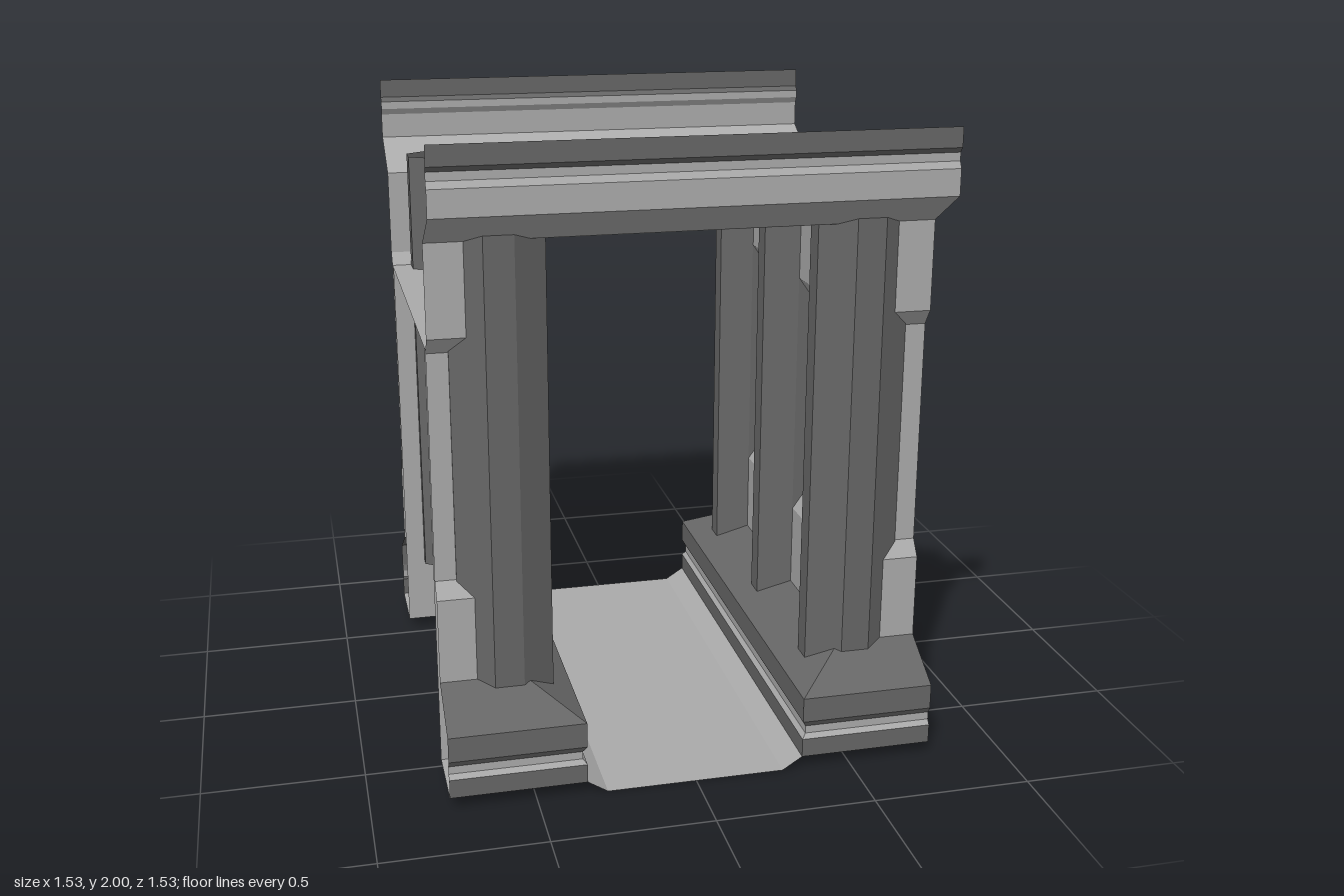
import * as THREE from 'three';

const E = 0.765;    // outer half width
const IN = 0.343;   // inner edge of the pier base
const material = (color) => new THREE.MeshStandardMaterial({ color, flatShading: true, side: THREE.DoubleSide });
const light = material(0xaaaaaa);   // walls, ceiling, floor
const dark = material(0x666666);    // columns and trim

// profiles as [inset, height]
const baseProfile = [[0, 0.04], [0, 0.1], [0.012, 0.115], [0.012, 0.14], [0, 0.16], [0, 0.24], [0.168, 0.34]];
const wallProfile = [[0.168, 0.34], [0.168, 0.61], [0.203, 0.66], [0.203, 1.37], [0.168, 1.42], [0.168, 1.7]];
const corniceProfile = baseProfile.map(([d, y]) => [d, 2.04 - y]);

// open sheet through equal-length rows of [x, y, z] points
function sheet(name, mat, rows) {
  const pos = [];
  for (let i = 0; i < rows.length - 1; i++) {
    for (let j = 0; j < rows[i].length - 1; j++) {
      const a = rows[i][j], b = rows[i][j + 1], c = rows[i + 1][j + 1], d = rows[i + 1][j];
      pos.push(...a, ...b, ...c, ...a, ...c, ...d);
    }
  }
  const g = new THREE.BufferGeometry();
  g.setAttribute('position', new THREE.Float32BufferAttribute(pos, 3));
  g.computeVertexNormals();
  const m = new THREE.Mesh(g, mat);
  m.name = name;
  return m;
}

// flat horizontal rectangle
const plate = (name, x0, x1, z0, z1, y) =>
  sheet(name, light, [[[x0, y, z1], [x1, y, z1]], [[x0, y, z0], [x1, y, z0]]]);

// profile swept round the three faces of a pier, with mitred corners
const wrap = (name, mat, profile) => sheet(name, mat, profile.map(([d, y]) => {
  const x = IN + d, z = E - d;
  return [[E, y, z], [x, y, z], [x, y, -z], [E, y, -z]];
}));

// straight profile along the front (s = 1) or back (s = -1)
const cornice = (name, mat, profile, s) => sheet(name, mat,
  profile.map(([d, y]) => [[-E, y, s * (E - d)], [E, y, s * (E - d)]]));

// stretched octagonal shaft; the open one lacks its outer three faces
function column(name, z, open) {
  const outline = [[0.045, 0.1], [-0.045, 0.1], [-0.145, 0.035], [-0.145, -0.035], [-0.045, -0.1], [0.045, -0.1]];
  if (!open) outline.push([0.145, -0.035], [0.145, 0.035], [0.045, 0.1]);
  return sheet(name, dark, [0.27, 1.77].map((y) => outline.map(([dx, dz]) => [0.555 + dx, y, z + dz])));
}

function pier(name) {
  const g = new THREE.Group();
  g.name = name;
  g.add(wrap('plinth', dark, baseProfile.slice(0, 2)));
  g.add(wrap('baseGroove', light, baseProfile.slice(1, 4)));
  g.add(wrap('baseMoulding', dark, baseProfile.slice(3)));
  g.add(wrap('recessedWall', light, wallProfile));
  g.add(column('centreColumn', 0, true));
  for (const s of [-1, 1]) {
    g.add(column('cornerColumn', s * 0.53, false));
    // inner face behind the front or back wall
    g.add(sheet('backingWall', light, [0.04, 1.38].map((y) => [[0.5, y, s * 0.53], [E, y, s * 0.53]])));
    g.add(plate('baseUnderside', 0.5, E, s > 0 ? 0.53 : -E, s > 0 ? E : -0.53, 0.04));
  }
  g.add(plate('innerBaseUnderside', IN, 0.5, -E, E, 0.04));
  // ledge on the outer side of the wall
  g.add(plate('outerLedge', 0.54, E, -0.565, 0.565, 1.38));
  return g;
}

export function createModel() {
  const model = new THREE.Group();
  model.name = 'archway';

  // mirrored piers, front and back cornices
  for (const s of [1, -1]) {
    const p = pier(s > 0 ? 'leftPier' : 'rightPier');
    p.scale.x = s;
    model.add(p);
    const side = s > 0 ? 'front' : 'back';
    model.add(cornice(side + 'CorniceCap', dark, corniceProfile.slice(0, 3), s));
    model.add(cornice(side + 'Cornice', light, corniceProfile.slice(2), s));
  }

  model.add(plate('ceiling', -0.55, 0.55, -0.6, 0.6, 1.7));

  // shallow floor pan between the piers
  model.add(sheet('floor', light, [[-IN, 0.04], [-0.28, 0], [0.28, 0], [IN, 0.04]]
    .map(([x, y]) => [[x, y, E], [x, y, -E]])));

  return model;
}
